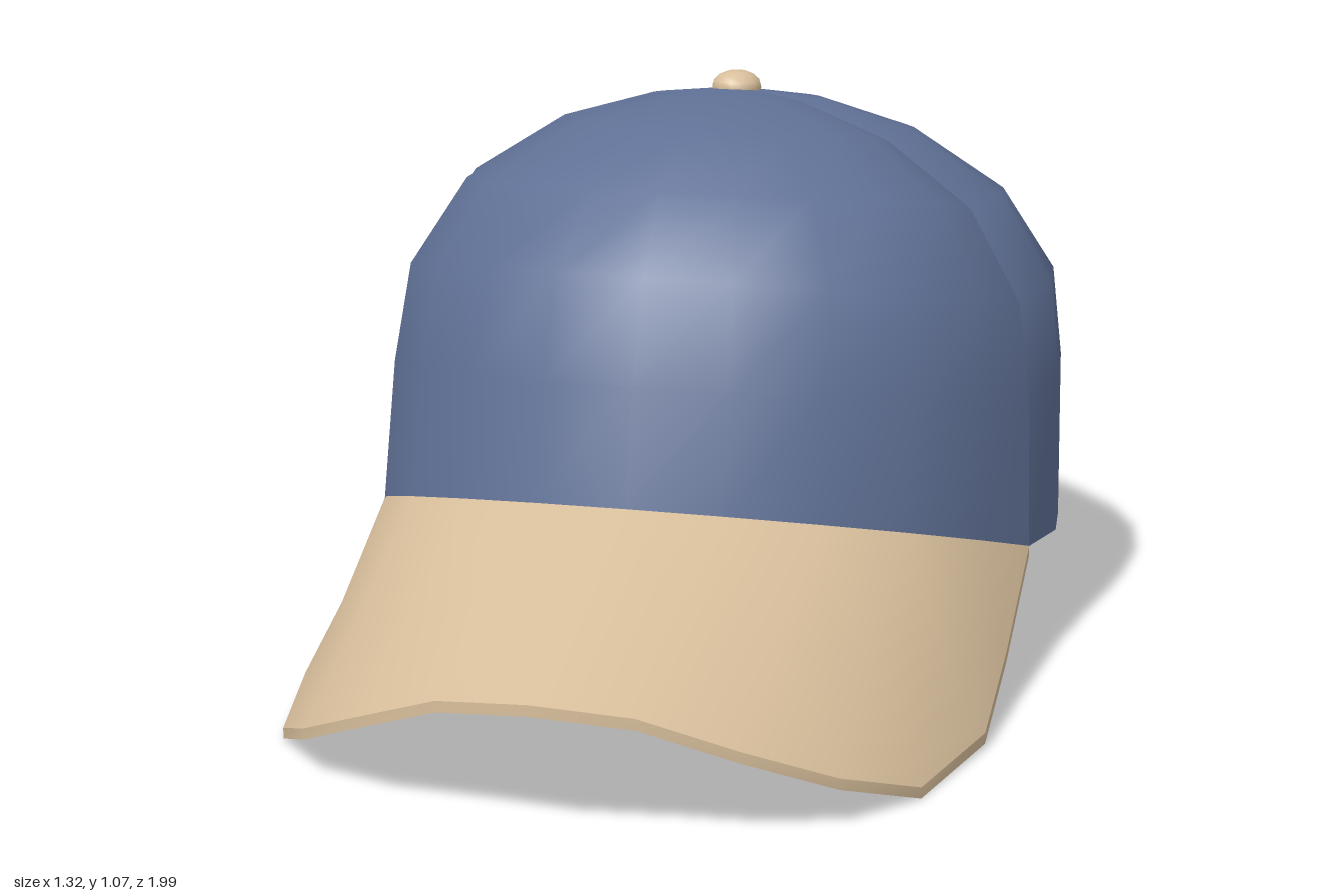
import * as THREE from 'three';

const blue = new THREE.MeshStandardMaterial({ color: 0x607196 });
blue.name = 'blueCloth';
const tan = new THREE.MeshStandardMaterial({ color: 0xd8bf9c });
tan.name = 'tanCloth';

const lerp = THREE.MathUtils.lerp;
const STEP = Math.PI / 12;          // 24 columns around the head
const SEAMS = [5, 12, 19];          // columns where panels meet
const SEAM_COS = Math.cos(5 * STEP);

// Crown rings, rim to apex: front z, front y, side x, seam y, back z, back y, seam dip
const RINGS = [
  [0.42, 0.41, 0.66, 0.24, -0.98, 0.15, 0],
  [0.37, 0.62, 0.652, 0.52, -1.0, 0.52, 0.01],
  [0.30, 0.80, 0.63, 0.70, -0.98, 0.67, 0.022],
  [0.18, 0.93, 0.525, 0.87, -0.90, 0.80, 0.032],
  [0.0, 1.01, 0.345, 0.98, -0.75, 0.925, 0.032],
  [-0.2, 1.04, 0.165, 1.025, -0.57, 1.0, 0.02],
  [-0.385, 1.037, 0, 1.037, -0.385, 1.037, 0],
];

// Point of the crown on ring k, column j (0 = front, 6 = left side), inset by t
function crownPoint(k, j, t = 0) {
  const [fz, fy, sx, sy, bz, by, dip] = RINGS[k];
  const a = j * STEP, c = Math.cos(a);
  const g = SEAMS.includes((j + 24) % 24) ? dip : 0;
  const r = (1 - g) * (1 - t * 1.5);
  const y = c > SEAM_COS
    ? lerp(sy, fy, (c - SEAM_COS) / (1 - SEAM_COS))
    : lerp(sy, by, (SEAM_COS - c) / (1 + SEAM_COS));
  return new THREE.Vector3(
    sx * r * Math.sin(a),
    y - g * 0.6 - (k ? t : 0),
    (fz + bz) / 2 + (fz - bz) / 2 * r * c,
  );
}

// Smooth surface through rows of points
function sheet(name, rows, material, flip = false) {
  const n = rows[0].length, index = [];
  for (let k = 0; k < rows.length - 1; k++) {
    for (let j = 0; j < n - 1; j++) {
      const a = k * n + j, b = a + 1, d = a + n, c = d + 1;
      if (flip) index.push(a, c, b, a, d, c);
      else index.push(a, b, c, a, c, d);
    }
  }
  const geometry = new THREE.BufferGeometry().setFromPoints(rows.flat());
  geometry.setIndex(index);
  geometry.computeVertexNormals();
  const mesh = new THREE.Mesh(geometry, material);
  mesh.name = name;
  return mesh;
}

const range = (from, to) => Array.from({ length: to - from + 1 }, (_, i) => from + i);

function createCrown() {
  const crown = new THREE.Group();
  crown.name = 'crown';
  // Three panels, each with a lining and a rim, creased at the seams
  for (const [name, from, to] of [['frontPanel', -5, 5], ['leftPanel', 5, 12], ['rightPanel', 12, 19]]) {
    const cols = range(from, to);
    const rows = (t) => RINGS.map((_, k) => cols.map((j) => crownPoint(k, j, t)));
    const outer = rows(0), inner = rows(0.016);
    crown.add(
      sheet(name, outer, blue),
      sheet(name + 'Lining', inner, blue, true),
      sheet(name + 'Rim', [inner[0], outer[0]], blue),
    );
  }
  return crown;
}

function createBrim() {
  const brim = new THREE.Group();
  brim.name = 'brim';
  // Outer edge from the middle to the side
  const EDGE = [
    [0, 0.245, 1.0], [0.17, 0.225, 0.965], [0.33, 0.16, 0.90],
    [0.47, 0.088, 0.79], [0.575, 0.02, 0.62], [0.637, 0.028, 0.35],
  ];
  const cols = range(-5, 5);
  const inner = cols.map((j) => crownPoint(0, j));
  const outer = cols.map((j) => {
    const [x, y, z] = EDGE[Math.abs(j)];
    return new THREE.Vector3(Math.sign(j) * x, y, z);
  });
  // Middle row sags slightly toward the sides
  const middle = cols.map((j, i) => {
    const p = inner[i].clone().lerp(outer[i], 0.53);
    p.y -= 0.02 * (Math.abs(j) / 5) ** 2;
    return p;
  });
  const lower = (row) => row.map((p) => new THREE.Vector3(p.x, p.y - 0.02, p.z));
  const top = [inner, middle, outer];
  const border = [inner[0], middle[0], ...outer, middle[10], inner[10]];
  brim.add(
    sheet('brimTop', top, tan, true),
    sheet('brimUnderside', top.map(lower), tan),
    sheet('brimEdge', [lower(border), border], tan),
    sheet('brimBackEdge', [lower(inner), inner], tan, true),
  );
  return brim;
}

export function createModel() {
  const cap = new THREE.Group();
  cap.name = 'cap';
  cap.add(createCrown(), createBrim());

  // Button on top where the seams meet
  const button = new THREE.Mesh(new THREE.SphereGeometry(0.049, 12, 8), tan);
  button.name = 'topButton';
  button.scale.y = 0.65;
  button.position.set(0, 1.037, -0.387);
  cap.add(button);
  return cap;
}
